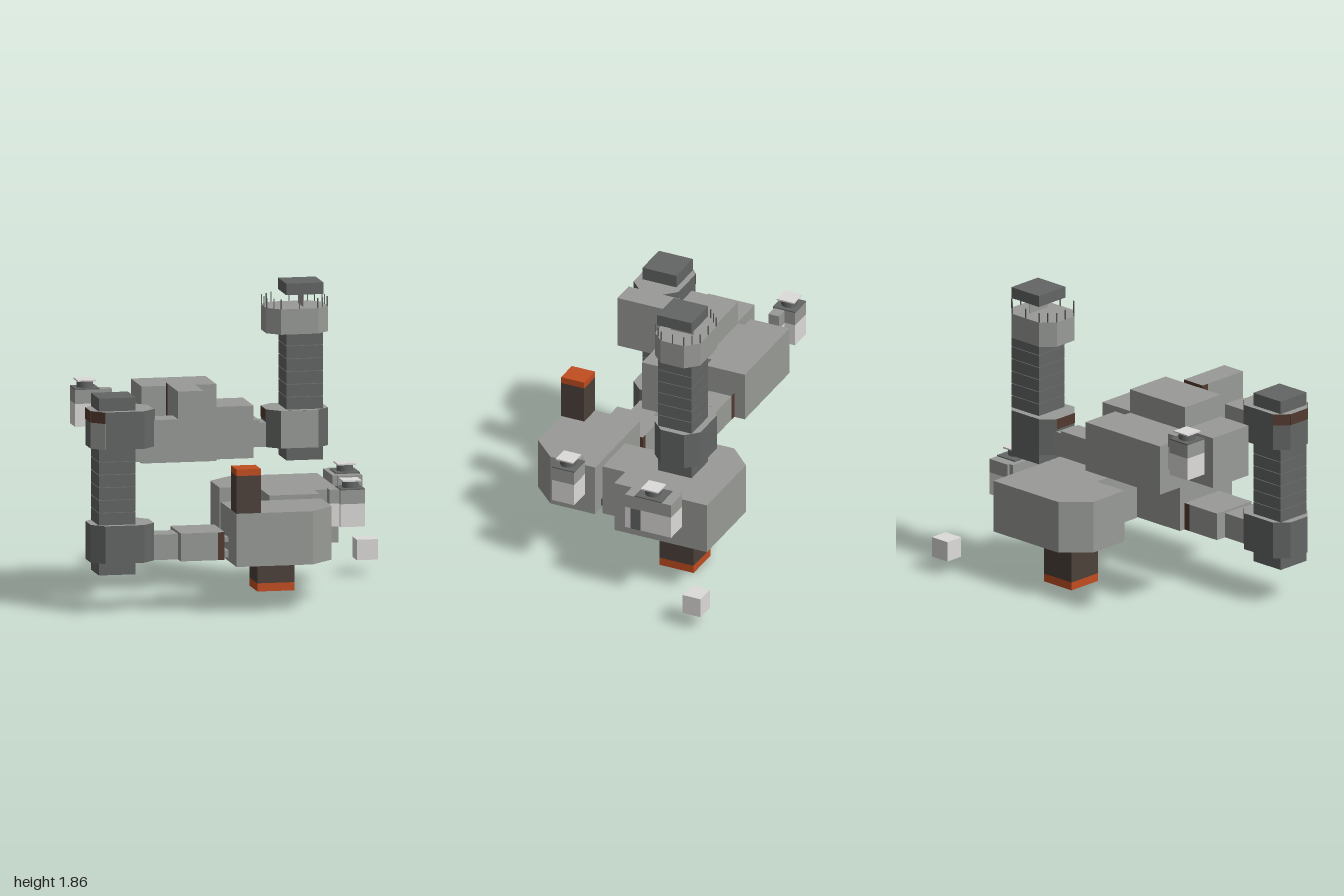
import * as THREE from 'three';

const mat = (name, color) => {
  const m = new THREE.MeshStandardMaterial({ color });
  m.name = name;
  return m;
};

export function createModel() {
  const root = new THREE.Group();
  root.name = 'fortress';
  const wall = mat('wallGrey', 0x999b97);
  const dark = mat('darkStone', 0x636665);
  const light = mat('paleStone', 0xdddcda);
  const brown = mat('darkBrown', 0x4c413a);
  const door = mat('doorBrown', 0x533a2f);
  const orange = mat('orange', 0xc24d20);

  // Box given by its limits on each axis, with optional other top and floor colours
  const box = (name, m, x0, x1, y0, y1, z0, z1, parent = root, top = m, floor = m === wall ? dark : m) => {
    const g = new THREE.BoxGeometry(x1 - x0, y1 - y0, z1 - z0);
    const mesh = new THREE.Mesh(g, top === m && floor === m ? m : [m, m, top, floor, m, m]);
    mesh.position.set((x0 + x1) / 2, (y0 + y1) / 2, (z0 + z1) / 2);
    mesh.name = name;
    parent.add(mesh);
    return mesh;
  };
  // Upright prism from a floor plan of [x, z] corners: grey roof, dark floor
  const prism = (name, side, plan, y0, y1, parent = root) => {
    const shape = new THREE.Shape(plan.map(([x, z]) => new THREE.Vector2(x, -z)));
    const g = new THREE.ExtrudeGeometry(shape, { depth: y1 - y0, bevelEnabled: false });
    g.rotateX(-Math.PI / 2);
    const [caps, sides] = g.groups;
    g.clearGroups();
    g.addGroup(0, caps.count / 2, 0);
    g.addGroup(caps.count / 2, caps.count / 2, 1);
    g.addGroup(sides.start, sides.count, 2);
    const mesh = new THREE.Mesh(g, [dark, wall, side]);
    mesh.position.y = y0;
    mesh.name = name;
    parent.add(mesh);
    return mesh;
  };
  // Thin upright plate along the plan line from a to b
  const panel = (name, m, [ax, az], [bx, bz], y0, y1, parent) => {
    const g = new THREE.BoxGeometry(Math.hypot(bx - ax, bz - az), y1 - y0, 0.006);
    const mesh = new THREE.Mesh(g, m);
    mesh.position.set((ax + bx) / 2, (y0 + y1) / 2, (az + bz) / 2);
    mesh.rotation.y = -Math.atan2(bz - az, bx - ax);
    mesh.name = name;
    parent.add(mesh);
  };
  const octagon = (x0, x1, z0, z1, c = 0.075) => [
    [x0, z0 + c], [x0 + c, z0], [x1 - c, z0], [x1, z0 + c],
    [x1, z1 - c], [x1 - c, z1], [x0 + c, z1], [x0, z1 - c],
  ];
  // Square shaft of stacked courses with fine open joints between them
  const courses = (name, x0, x1, y0, y1, z0, z1, parent) => {
    const n = 6, h = (y1 - y0) / n;
    for (let i = 0; i < n; i++)
      box(name, dark, x0, x1, y0 + i * h, y0 + (i + 1) * h - 0.004, z0, z1, parent);
  };

  // Lower front hall with its chimney
  prism('frontHall', wall, [[-0.15, 0.25], [0.47, 0.25], [0.47, 0.55], [0.32, 0.705], [-0.15, 0.705]], 0.295, 0.62);
  box('chimney', brown, -0.15, 0, 0.62, 0.85, 0.55, 0.705);
  box('chimneyTop', orange, -0.15, 0, 0.85, 0.89, 0.55, 0.705);

  // Lower back hall with the leg beneath it
  prism('backHall', wall, [
    [-0.07, -0.42], [0.08, -0.57], [0.62, -0.57], [0.62, 0.05], [0.47, 0.05],
    [0.47, 0.2], [0.16, 0.2], [0.16, -0.15], [-0.07, -0.15],
  ], 0.315, 0.64);
  box('leg', brown, 0.16, 0.39, 0.05, 0.315, -0.37, -0.14);
  box('legFoot', orange, 0.16, 0.39, 0, 0.05, -0.37, -0.14);
  box('hallBridge', dark, 0.24, 0.39, 0.315, 0.36, 0.2, 0.25);

  // Lower passage from the side tower to the front hall
  box('lowerPassage', wall, -0.62, -0.46, 0.315, 0.47, 0.32, 0.47);
  box('lowerRoom', wall, -0.46, -0.23, 0.315, 0.485, 0.25, 0.55);
  box('lowerDoor', door, -0.23, -0.19, 0.315, 0.485, 0.25, 0.55, root, wall, dark);
  box('lowerSill', wall, -0.19, -0.15, 0.315, 0.36, 0.32, 0.47);
  box('lowerLintel', wall, -0.19, -0.15, 0.41, 0.44, 0.32, 0.47);

  // Upper halls
  box('upperBackHall', wall, -0.69, -0.07, 0.86, 1.17, -0.49, -0.23);
  box('upperLink', wall, -0.61, -0.15, 0.86, 1.17, -0.23, -0.18);
  box('upperMainHall', wall, -0.61, -0.15, 0.85, 1.32, -0.185, 0.125);
  box('upperWestWing', wall, -0.84, -0.61, 0.86, 1.18, -0.185, 0.125);
  box('upperEastWing', wall, -0.15, 0.08, 0.86, 1.18, -0.185, 0.125);
  box('frontGallery', wall, -0.46, -0.305, 1.01, 1.34, 0.17, 0.475);
  box('galleryDoor', door, -0.46, -0.305, 1.01, 1.34, 0.125, 0.17, root, wall, dark);
  box('upperPassage', wall, -0.62, -0.46, 1.01, 1.17, 0.32, 0.47);
  box('towerPassage', wall, -0.03, 0.2, 0.86, 1.025, -0.42, -0.27);
  box('towerPassageEnd', wall, 0.2, 0.25, 0.86, 1.01, -0.42, -0.27);
  box('passageDoor', door, -0.07, -0.03, 0.86, 1.025, -0.42, -0.27, root, dark, dark);

  // Side tower: shaft through two octagonal collars
  const side = new THREE.Group();
  side.name = 'sideTower';
  root.add(side);
  const sidePlan = octagon(-1, -0.61, 0.25, 0.55);
  box('sideShaftFoot', dark, -0.957, -0.73, 0.24, 0.315, 0.285, 0.512, side);
  prism('lowerCollar', dark, sidePlan, 0.315, 0.545, side);
  courses('sideShaft', -0.957, -0.73, 0.545, 1.01, 0.285, 0.512, side);
  prism('upperCollar', dark, sidePlan, 1.01, 1.24, side);
  box('sideShaftTop', dark, -0.957, -0.73, 1.24, 1.32, 0.285, 0.512, side);
  // Brown bands round the outer faces and over the passage
  for (const i of [0, 6, 7, 3])
    panel('collarBand', door, sidePlan[i], sidePlan[(i + 1) % 8], 1.17, 1.239, side);
  panel('collarPanel', wall, sidePlan[6], sidePlan[7], 1.011, 1.17, side);

  // Tall tower: shaft, collar, lookout ring and raised roof
  const tall = new THREE.Group();
  tall.name = 'tallTower';
  root.add(tall);
  const ring = octagon(0.24, 0.62, -0.49, -0.185);
  box('tallShaftFoot', dark, 0.357, 0.583, 0.78, 0.86, -0.45, -0.224, tall);
  prism('tallCollar', dark, ring, 0.86, 1.09, tall);
  panel('collarFront', wall, ring[6], ring[5], 0.861, 1.089, tall);
  panel('collarBand', door, ring[7], ring[0], 1.025, 1.089, tall);
  courses('tallShaft', 0.357, 0.583, 1.09, 1.559, -0.45, -0.224, tall);
  prism('lookoutRing', wall, ring, 1.555, 1.71, tall);
  box('roofSlab', dark, 0.355, 0.585, 1.79, 1.86, -0.45, -0.22, tall);
  box('roofSupport', wall, 0.467, 0.473, 1.71, 1.79, -0.41, -0.255, tall);
  ring.forEach(([x, z], i) => {
    const [nx, nz] = ring[(i + 1) % 8];
    for (const t of [0, 0.5]) {
      const px = (x + (nx - x) * t - 0.43) * 0.98 + 0.43;
      const pz = (z + (nz - z) * t + 0.337) * 0.98 - 0.337;
      box('lookoutPost', dark, px - 0.003, px + 0.003, 1.71, 1.77, pz - 0.003, pz + 0.003, tall);
    }
  });

  // Small turrets: pale base, grey upper wall, dark roof and round capped vent
  const turret = (name, x, y, z, halfDepth = 0.075) => {
    const g = new THREE.Group();
    g.name = name;
    g.position.set(x, y, z);
    root.add(g);
    box('turretBase', light, -0.075, 0.075, 0, 0.14, -halfDepth, halfDepth, g, light, dark);
    box('turretWall', wall, -0.075, 0.075, 0.14, 0.225, -halfDepth, halfDepth, g);
    const roof = Math.min(halfDepth, 0.09);
    box('turretRoof', dark, -0.075, 0.075, 0.225, 0.232, -roof, roof, g);
    const vent = new THREE.Mesh(new THREE.CylinderGeometry(0.05, 0.05, 0.045, 16), dark);
    vent.position.y = 0.252;
    vent.name = 'turretVent';
    g.add(vent);
    box('ventCap', light, -0.057, 0.057, 0.272, 0.281, -0.057, 0.057, g);
    return g;
  };
  // Link from a turret to its hall, in the same two tones
  const link = (x0, x1, y, z0, z1) => {
    box('turretLinkBase', light, x0, x1, y, y + 0.14, z0, z1, root, light, dark);
    box('turretLinkWall', wall, x0, x1, y + 0.14, y + 0.225, z0, z1);
  };
  turret('frontTurret', 0.625, 0.47, 0.355);
  const east = turret('eastTurret', 0.725, 0.47, -0.262, 0.155);
  box('eastTurretSlot', dark, 0.074, 0.078, 0, 0.14, 0.05, 0.115, east);
  turret('backTurret', -0.845, 1.01, -0.415);
  link(0.49, 0.55, 0.47, 0.32, 0.395);
  link(0.62, 0.65, 0.47, -0.4, -0.13);
  link(-0.77, -0.69, 1.01, -0.42, -0.35);

  // Detached block
  box('looseCube', light, 0.87, 1, 0.095, 0.22, -0.71, -0.59);

  return root;
}
